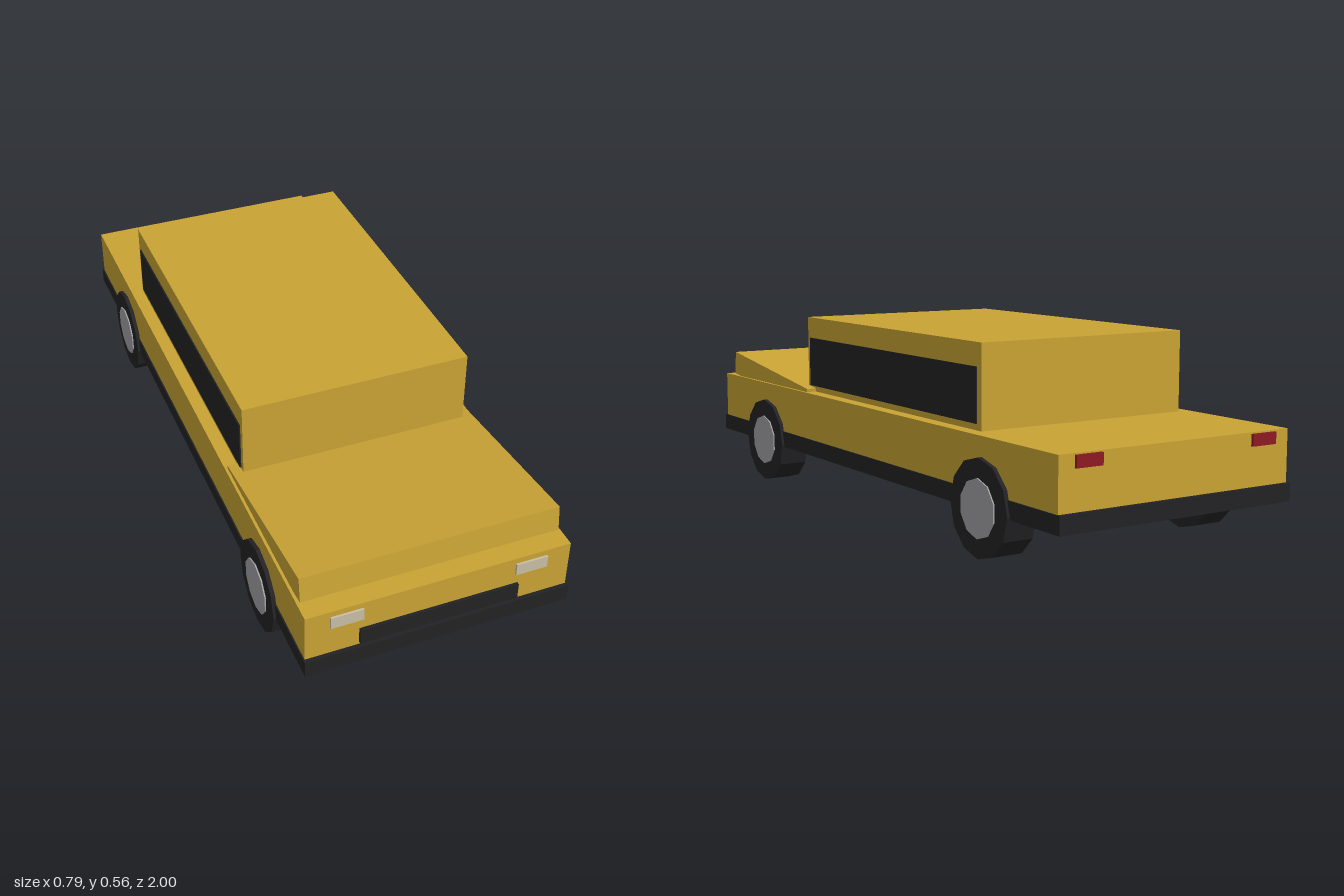
import * as THREE from 'three';

const paint = (name, color) => {
  const m = new THREE.MeshStandardMaterial({ color });
  m.name = name;
  return m;
};

export function createModel() {
  const car = new THREE.Group();
  car.name = 'car';

  const yellow = paint('yellowPaint', 0xc9a334);
  const black = paint('blackTrim', 0x222224);
  const silver = paint('silverHub', 0xa2a2a6);
  const lamp = paint('lampGlass', 0xc9bea6);
  const red = paint('redLamp', 0x8c1a22);
  const rubber = paint('tyreRubber', 0x232325);
  rubber.flatShading = silver.flatShading = true;

  // Box given by its lower and upper limits on each axis
  const box = (name, mat, [x0, x1], [y0, y1], [z0, z1]) => {
    const mesh = new THREE.Mesh(new THREE.BoxGeometry(x1 - x0, y1 - y0, z1 - z0), mat);
    mesh.position.set((x0 + x1) / 2, (y0 + y1) / 2, (z0 + z1) / 2);
    mesh.name = name;
    car.add(mesh);
    return mesh;
  };

  // Chassis, body and cabin
  box('chassis', black, [-0.383, 0.383], [0.128, 0.178], [-1, 1]);
  box('body', yellow, [-0.379, 0.379], [0.178, 0.325], [-0.988, 0.988]);
  box('cabin', yellow, [-0.34, 0.34], [0.325, 0.56], [-0.593, 0.418]);

  // Bonnet, tilted up towards the nose
  const bonnet = box('bonnet', yellow, [-0.371, 0.371], [0.2955, 0.3705], [0.372, 0.932]);
  bonnet.rotation.x = -0.126;

  // Grille
  box('grille', black, [-0.228, 0.228], [0.187, 0.236], [0.988, 0.997]);

  for (const [side, s] of [['left', 1], ['right', -1]]) {
    const span = (a, b) => (s > 0 ? [a, b] : [-b, -a]);
    // Side window, headlight and tail lamp
    box(side + 'Window', black, span(0.338, 0.344), [0.343, 0.495], [-0.573, 0.4]);
    box(side + 'Headlight', lamp, span(0.218, 0.31), [0.27, 0.307], [0.987, 0.994]);
    box(side + 'TailLamp', red, span(0.248, 0.33), [0.288, 0.321], [-0.996, -0.987]);

    // Wheels with a hub running through the tyre
    for (const [end, z] of [['Front', 0.655], ['Rear', -0.655]]) {
      const wheel = new THREE.Group();
      wheel.name = side + end + 'Wheel';
      const tyre = new THREE.Mesh(new THREE.CylinderGeometry(0.135, 0.135, 0.092, 12), rubber);
      tyre.name = 'tyre';
      const hub = new THREE.Mesh(
        new THREE.CylinderGeometry(0.081, 0.081, 0.1, 10, 1, false, Math.PI / 2), silver);
      hub.name = 'hub';
      wheel.add(tyre, hub);
      wheel.rotation.z = Math.PI / 2;
      wheel.position.set(s * 0.345, 0.135, z);
      car.add(wheel);
    }
  }
  return car;
}
